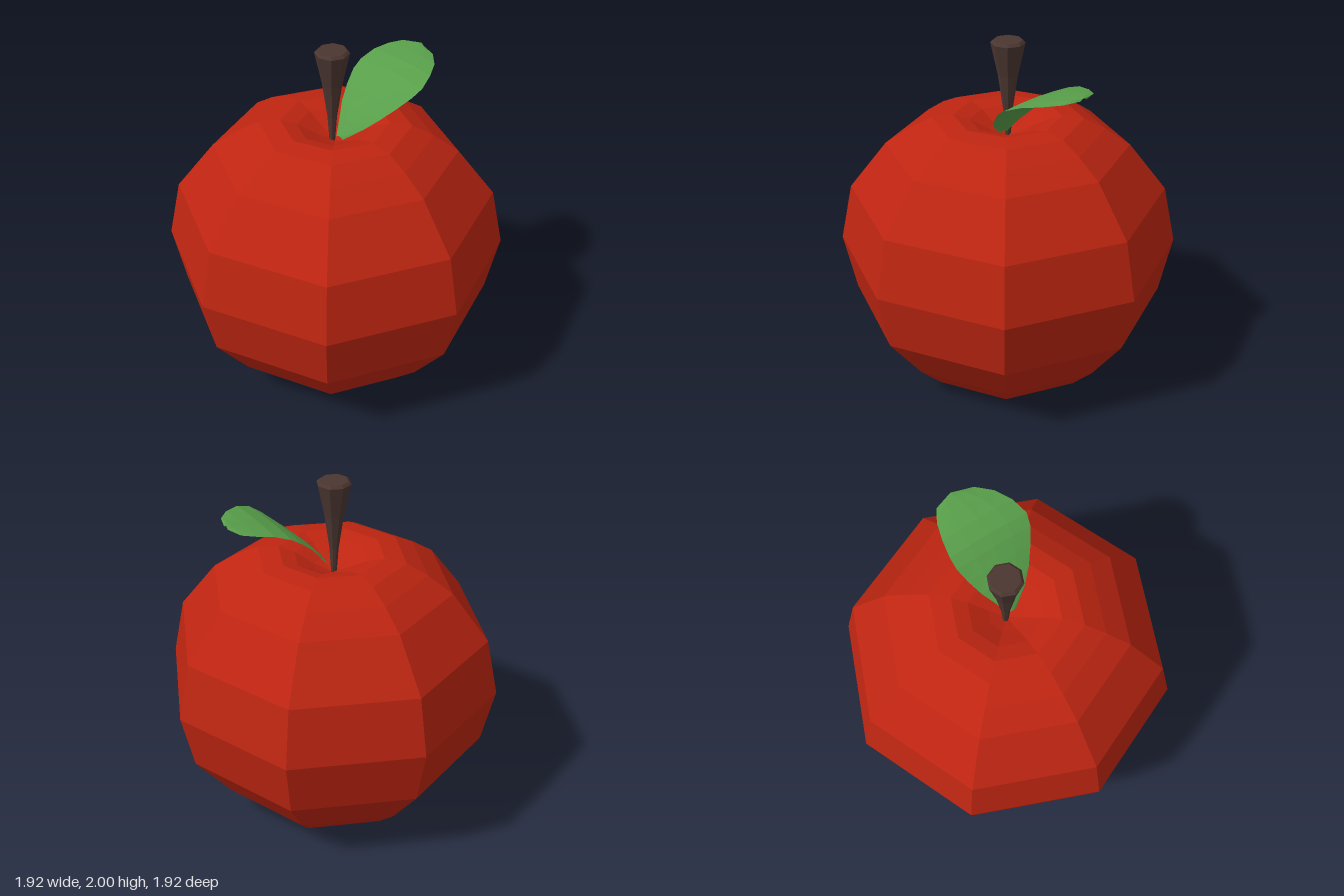
import * as THREE from 'three';

const mat = (color, side = THREE.FrontSide) =>
  new THREE.MeshStandardMaterial({ color, side, flatShading: true, roughness: 0.8 });

// Faceted solid of revolution from [radius, height] pairs, bottom to top
function turned(name, profile, sides, material) {
  const points = profile.map(([r, y]) => new THREE.Vector2(r, y));
  const mesh = new THREE.Mesh(new THREE.LatheGeometry(points, sides), material);
  mesh.name = name;
  return mesh;
}

// Curved blade lofted from rows of [z, y, left x, right x]
function makeLeaf() {
  const rows = [
    [0.0, 1.49, 0.01, 0.06], [-0.06, 1.57, -0.03, 0.155], [-0.12, 1.635, -0.075, 0.22],
    [-0.19, 1.7, -0.11, 0.275], [-0.26, 1.76, -0.135, 0.32], [-0.32, 1.8, -0.138, 0.335],
    [-0.41, 1.835, -0.125, 0.305], [-0.5, 1.85, -0.1, 0.25], [-0.57, 1.858, -0.06, 0.17],
    [-0.6, 1.86, 0.03, 0.07],
  ];
  const across = 4, pos = [], index = [];
  rows.forEach(([z, y, x0, x1], i) => {
    for (let j = 0; j <= across; j++) {
      const t = j / across;
      // edges droop slightly below the midline
      pos.push(x0 + (x1 - x0) * t, y - 0.012 * (2 * t - 1) ** 2, z);
      if (i && j) {
        const b = i * (across + 1) + j, a = b - across - 1;
        index.push(a - 1, a, b, a - 1, b, b - 1);
      }
    }
  });
  const geo = new THREE.BufferGeometry();
  geo.setAttribute('position', new THREE.Float32BufferAttribute(pos, 3));
  geo.setIndex(index);
  geo.computeVertexNormals();
  const leaf = new THREE.Mesh(geo, mat(0x589e4a, THREE.DoubleSide));
  leaf.name = 'leaf';
  return leaf;
}

export function createModel() {
  const group = new THREE.Group();
  group.name = 'apple';

  // Fruit body with a hollow at the bottom and a dip at the top
  group.add(turned('fruit', [
    [0, 0.13], [0.2, 0.09], [0.32, 0.03], [0.39, 0.005], [0.48, 0.015], [0.54, 0.05],
    [0.68, 0.19], [0.89, 0.47], [0.96, 0.8], [0.89, 1.13], [0.68, 1.4],
    [0.54, 1.495], [0.42, 1.555], [0.3, 1.57], [0.21, 1.545], [0.1, 1.49], [0, 1.45],
  ], 8, mat(0xbe2511)));

  // Flared stem
  const stem = turned('stem', [
    [0, 1.44], [0.015, 1.44], [0.026, 1.6], [0.055, 1.8], [0.095, 1.985], [0.08, 2], [0, 2],
  ], 8, mat(0x4b3630));
  stem.position.set(-0.012, 0, 0.01);
  group.add(stem);

  group.add(makeLeaf());
  return group;
}
